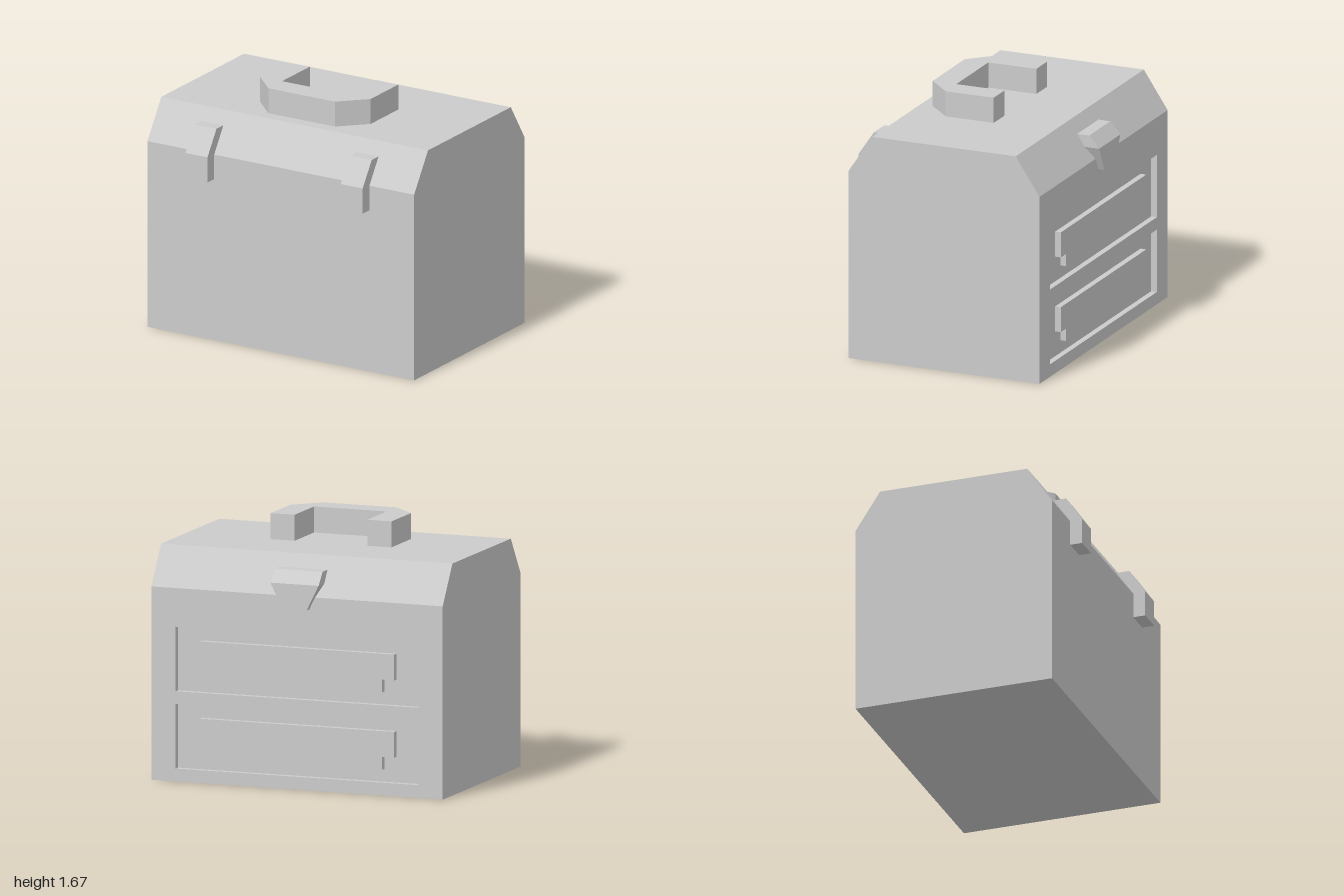
import * as THREE from 'three';
import { ConvexGeometry } from 'three/addons/geometries/ConvexGeometry.js';

const material = new THREE.MeshStandardMaterial({ color: 0xcccccc, flatShading: true });

const outline = (points) => new THREE.Shape(points.map(([a, b]) => new THREE.Vector2(a, b)));

const extrude = (shape, depth) =>
  new THREE.ExtrudeGeometry(shape, { depth, bevelEnabled: false }).translate(0, 0, -depth / 2);

// Side profile given as [z, y], extruded across x
const profileAcross = (points, width) => extrude(outline(points), width).rotateY(-Math.PI / 2);

export function createModel() {
  const group = new THREE.Group();
  const add = (name, geometry, x = 0, y = 0, z = 0) => {
    const mesh = new THREE.Mesh(geometry, material);
    mesh.name = name;
    mesh.position.set(x, y, z);
    group.add(mesh);
  };

  const back = -0.686, floor = -0.646, inset = floor - back;

  // Box with chamfered lid
  add('body', profileAcross([
    [0.648, 0], [0.648, 1.25], [0.48, 1.5], [-0.52, 1.5],
    [back, 1.25], [floor, 1.25], [floor, 0],
  ], 2));

  // Back frame with two drawer recesses
  const frame = outline([[-1, 0], [1, 0], [1, 1.25], [-1, 1.25]]);
  const drawerBottoms = [0.083, 0.583];
  for (const y of drawerBottoms) {
    frame.holes.push(outline([[-0.833, y], [-0.833, y + 0.417], [0.833, y + 0.417], [0.833, y]]));
  }
  add('backFrame', extrude(frame, inset), 0, 0, (back + floor) / 2);

  // Raised pulls with notched lower corners
  const pull = extrude(outline([
    [-0.583, 0], [0.583, 0], [0.583, 0.083], [0.667, 0.083],
    [0.667, 0.25], [-0.667, 0.25], [-0.667, 0.083], [-0.583, 0.083],
  ]), inset);
  for (const y of drawerBottoms) add('drawerPull', pull, 0, y + 0.083, (back + floor) / 2);

  // U-shaped handle lying on the lid
  const handle = extrude(outline([
    [-0.415, -0.105], [-0.25, -0.105], [-0.25, 0.23], [0.25, 0.23], [0.25, -0.105],
    [0.415, -0.105], [0.415, 0.23], [0.25, 0.395], [-0.25, 0.395], [-0.415, 0.23],
  ]), 0.168).rotateX(Math.PI / 2);
  add('handle', handle, 0, 1.584, 0);

  // Bent hinges over the front chamfer
  const hinge = profileAcross([
    [0.64, 1.085], [0.729, 1.085], [0.729, 1.255], [0.62, 1.415], [0.53, 1.415], [0.64, 1.25],
  ], 0.165);
  for (const side of [-1, 1]) add('hinge', hinge, side * 0.582);

  // Tapered latch on the back: [half width, y, outer z, inner z]
  const latchPoints = [];
  for (const [w, y, outer, inner] of [
    [0.165, 1.415, -0.66, -0.56], [0.165, 1.335, -0.729, -0.58], [0.083, 1.17, -0.729, -0.67],
  ]) {
    for (const x of [-w, w]) {
      latchPoints.push(new THREE.Vector3(x, y, outer), new THREE.Vector3(x, y, inner));
    }
  }
  add('latch', new ConvexGeometry(latchPoints));

  return group;
}
